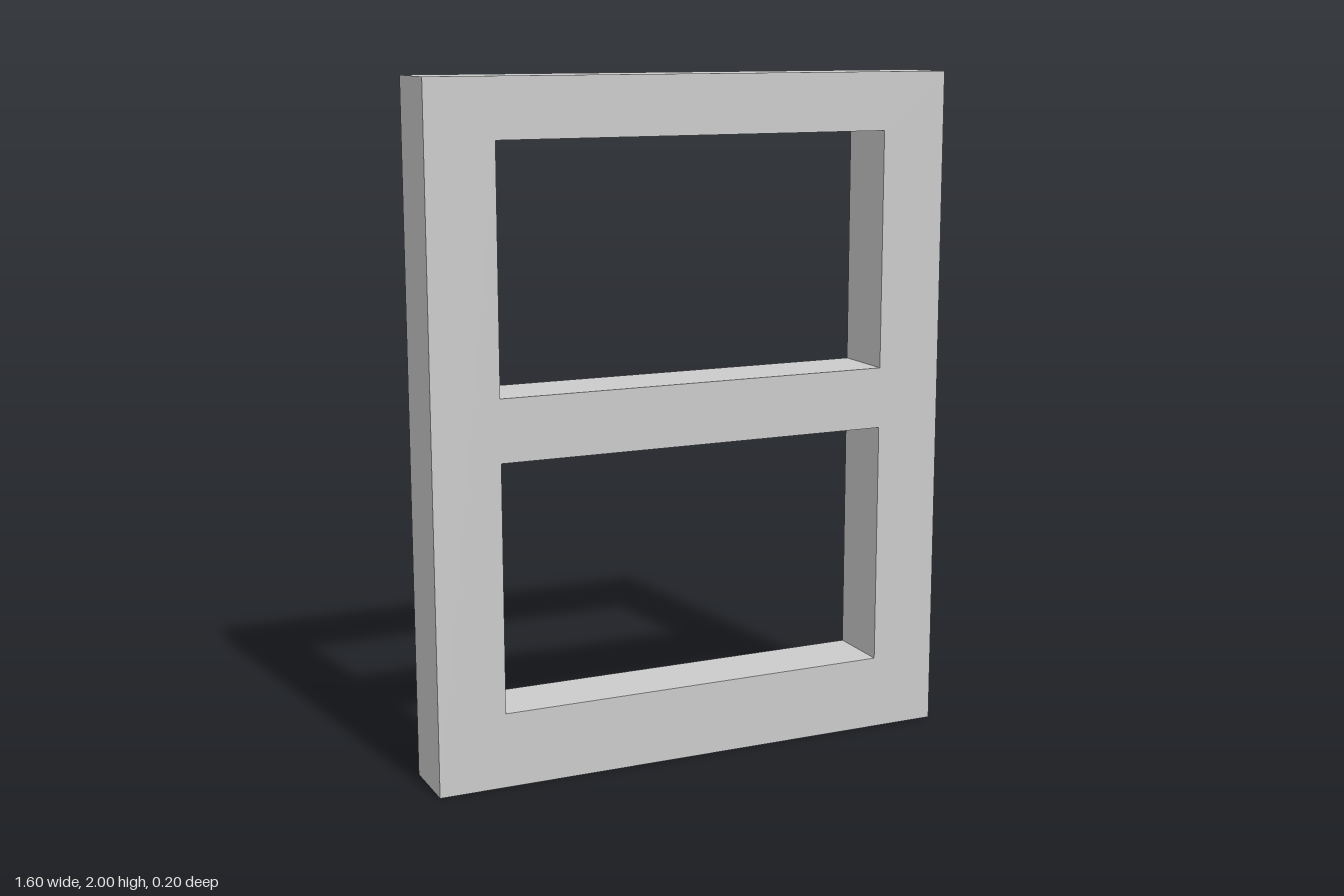
import * as THREE from 'three';
import { mergeGeometries } from 'three/addons/utils/BufferGeometryUtils.js';

const DEPTH = 0.2;
const OUTER = { x: 0.8, y0: 0, y1: 2 };
const OPENINGS = {
  lowerOpeningSleeve: { x: 0.6, y0: 0.22, y1: 0.945 },
  upperOpeningSleeve: { x: 0.6, y0: 1.127, y1: 1.83 },
};

const corners = ({ x, y0, y1 }) => [[-x, y0], [x, y0], [x, y1], [-x, y1]].map((p) => new THREE.Vector2(...p));

// Four thin walls running front to back along a rectangle, facing out or in
function sleeve({ x, y0, y1 }, inward) {
  const turn = inward ? -1 : 1;
  const walls = [];
  for (const s of [-1, 1]) {
    walls.push(new THREE.PlaneGeometry(DEPTH, y1 - y0)
      .rotateY(s * turn * Math.PI / 2).translate(s * x, (y0 + y1) / 2, 0));
    walls.push(new THREE.PlaneGeometry(2 * x, DEPTH)
      .rotateX(-s * turn * Math.PI / 2).translate(0, s > 0 ? y1 : y0, 0));
  }
  return mergeGeometries(walls);
}

export function createModel() {
  const group = new THREE.Group();
  group.name = 'windowFrame';
  const material = new THREE.MeshStandardMaterial({ color: 0xcccccc, side: THREE.DoubleSide });
  const add = (name, geometry) => {
    const mesh = new THREE.Mesh(geometry, material);
    mesh.name = name;
    group.add(mesh);
  };

  // Thin front panel with two openings; the back is left open
  const face = new THREE.Shape(corners(OUTER));
  for (const o of Object.values(OPENINGS)) face.holes.push(new THREE.Path(corners(o).reverse()));
  add('frontPanel', new THREE.ShapeGeometry(face).translate(0, 0, DEPTH / 2));

  // Outer rim and the walls lining each opening
  add('outerRim', sleeve(OUTER, false));
  for (const [name, o] of Object.entries(OPENINGS)) add(name, sleeve(o, true));

  return group;
}
